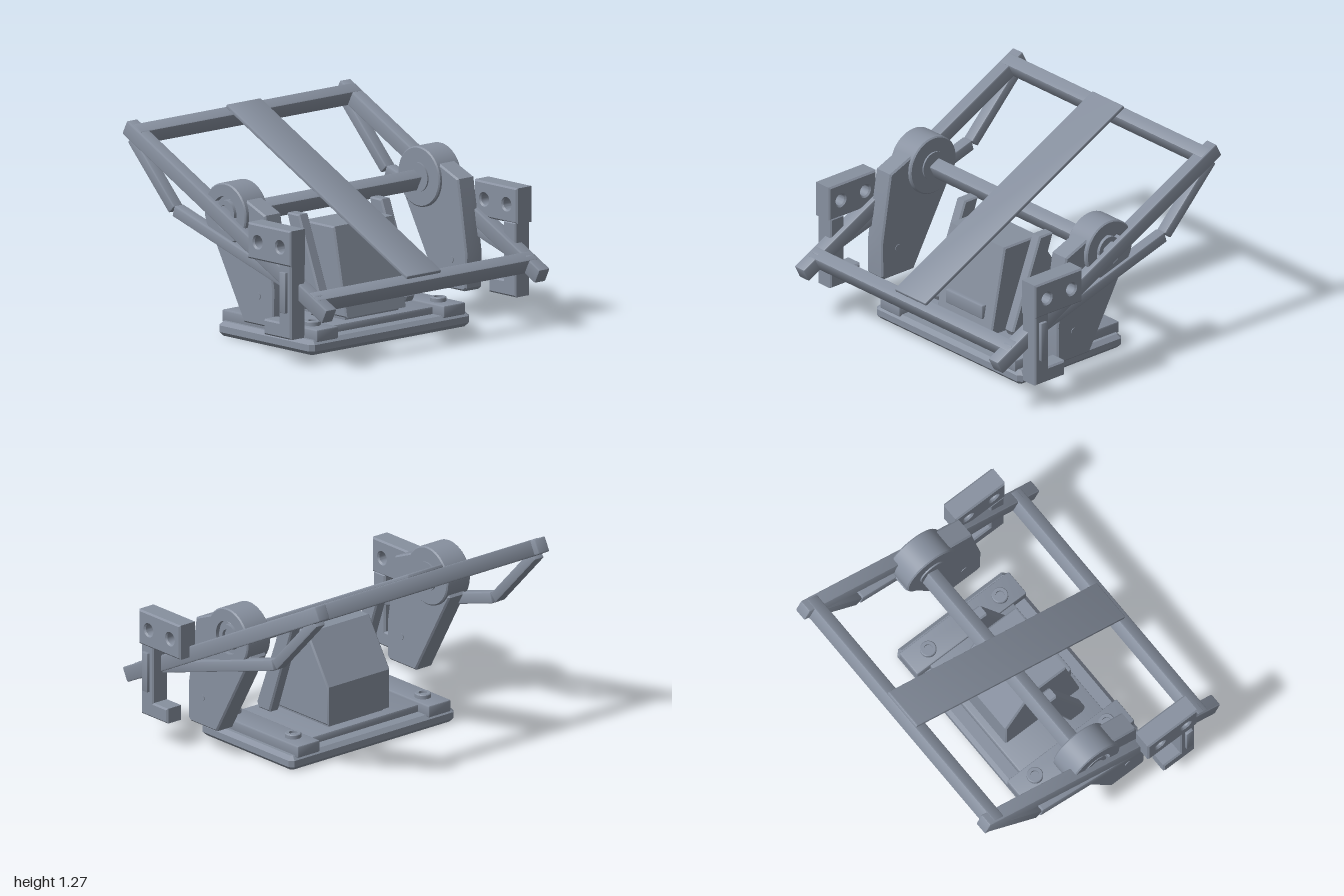
import * as THREE from 'three';
import { toCreasedNormals } from 'three/addons/utils/BufferGeometryUtils.js';
import { RoundedBoxGeometry } from 'three/addons/geometries/RoundedBoxGeometry.js';

const steel = new THREE.MeshStandardMaterial({ color: 0x87909f });
steel.name = 'blueGreySteel';

function add(parent, name, geometry, x = 0, y = 0, z = 0) {
  const mesh = new THREE.Mesh(toCreasedNormals(geometry, 0.5), steel);
  mesh.name = name;
  mesh.position.set(x, y, z);
  parent.add(mesh);
  return mesh;
}

// Box with a narrow softened edge
const box = (w, h, d, r = 0.008) => new RoundedBoxGeometry(w, h, d, 1, r);

// Straight bar between two [z, y] points
function beam(parent, name, x, a, b, width, thick) {
  const dz = b[0] - a[0], dy = b[1] - a[1];
  const mesh = add(parent, name, box(width, thick, Math.hypot(dz, dy)),
    x, (a[1] + b[1]) / 2, (a[0] + b[0]) / 2);
  mesh.rotation.x = Math.atan2(-dy, dz);
  return mesh;
}

// [z, y] outline extruded along x, centred on x, with chamfered edges
function slab(parent, name, outline, x, width, holes = []) {
  const bevel = 0.01;
  const shape = new THREE.Shape(outline.map(([z, y]) => new THREE.Vector2(z, y)));
  for (const [z, y, r] of holes) {
    const hole = new THREE.Path();
    hole.absarc(z, y, r, 0, Math.PI * 2, true);
    shape.holes.push(hole);
  }
  const g = new THREE.ExtrudeGeometry(shape, {
    depth: width - 2 * bevel, bevelEnabled: true, bevelThickness: bevel,
    bevelSize: bevel, bevelOffset: -bevel, bevelSegments: 1, curveSegments: 16,
  });
  g.translate(0, 0, -(width / 2 - bevel));
  g.rotateY(-Math.PI / 2);
  return add(parent, name, g, x);
}

export function createModel() {
  const model = new THREE.Group();
  model.name = 'tiltingFrame';

  // Base plate with chamfered rim, centre panel
  const rim = new THREE.Shape();
  const X = 0.655, Z = 0.42, c = 0.025;
  [[-X + c, -Z], [X - c, -Z], [X, -Z + c], [X, Z - c], [X - c, Z], [-X + c, Z], [-X, Z - c], [-X, -Z + c]]
    .forEach(([x, z], i) => (i ? rim.lineTo(x, z) : rim.moveTo(x, z)));
  const plate = new THREE.ExtrudeGeometry(rim, {
    depth: 0.04, bevelEnabled: true, bevelThickness: 0.025, bevelSize: 0.025, bevelOffset: -0.025, bevelSegments: 1,
  });
  plate.rotateX(-Math.PI / 2);
  add(model, 'basePlate', plate, 0, 0.025, 0.075);
  add(model, 'basePanel', box(1.16, 0.06, 0.64), 0, 0.105, 0.07);

  // Central pedestal
  slab(model, 'pedestal', [[0.36, 0.155], [0.25, 0.7], [-0.02, 0.7], [-0.21, 0.4], [-0.21, 0.155]], 0, 0.495);
  add(model, 'pedestalLedge', box(0.33, 0.09, 0.05), 0, 0.275, 0.335);
  add(model, 'pedestalFoot', box(0.44, 0.05, 0.5), 0, 0.145, 0.07);

  // Tilted frame runs along this line
  const along = (z, lift = 0) => [z + lift * 0.453, 0.783 - 0.508 * (z - 0.005) + lift * 0.891];
  for (const [name, z, w] of [['frontCrossbar', 0.757, 1.81], ['axleBar', -0.045, 1.5], ['rearCrossbar', -0.805, 1.81]]) {
    beam(model, name, 0, along(z - 0.038), along(z + 0.038), w, 0.1);
  }
  beam(model, 'centrePlank', -0.005, along(0.76, 0.058), along(-0.84, 0.058), 0.28, 0.026);

  for (const s of [1, -1]) {
    const side = new THREE.Group();
    side.name = s > 0 ? 'leftSide' : 'rightSide';
    model.add(side);

    // Base strap and bolts
    add(side, 'baseStrap', box(0.175, 0.075, 0.84), s * 0.52, 0.115, 0.07);
    for (const z of [-0.2, 0.35]) {
      const bolt = new THREE.LatheGeometry([[0, -0.02], [0.05, -0.02], [0.05, 0.025], [0.045, 0.03],
        [0.026, 0.03], [0.026, 0.015], [0, 0.015]].map(p => new THREE.Vector2(...p)), 24);
      add(side, 'baseBolt', bolt, s * 0.515, 0.15, z);
    }

    // Frame rail with its lower truss
    beam(side, 'frameRail', s * 0.872, along(0.885), along(-0.88), 0.087, 0.095);
    beam(side, 'trussStrut', s * 0.868, [0.78, 0.41], [-0.46, 0.782], 0.075, 0.07);
    beam(side, 'trussLink', s * 0.868, [-0.475, 0.785], [-0.84, 1.165], 0.075, 0.065);

    // Hub with recessed outer ring and inner boss
    const hub = new THREE.LatheGeometry([[0, -0.103], [0.09, -0.103], [0.09, -0.093], [0.177, -0.093],
      [0.185, -0.085], [0.185, 0.085], [0.177, 0.093], [0.105, 0.093], [0.105, 0.06], [0.08, 0.06],
      [0.08, 0.09], [0.05, 0.09], [0.05, 0.07], [0, 0.07]].map(p => new THREE.Vector2(...p)), 48);
    hub.rotateZ(-s * Math.PI / 2);
    add(side, 'hub', hub, s * 0.793, 0.83, -0.025);

    // Arm hanging from the hub, with pivot pin
    slab(side, 'hubArm', [[0.37, 0.2], [0.372, 0.42], [0.3, 0.86], [0.08, 0.95], [-0.08, 0.9], [-0.2, 0.73],
      [0.11, 0.18], [0.35, 0.18]], s * 0.79, 0.135);
    const pin = new THREE.CylinderGeometry(0.022, 0.022, 0.143, 16);
    pin.rotateZ(Math.PI / 2);
    add(side, 'pivotPin', pin, s * 0.79, 0.36, 0.24);

    // Slim strut beside the pedestal
    slab(side, 'innerStrut', [[0.3, 0.2], [0.08, 0.765], [-0.03, 0.765], [0.18, 0.165], [0.28, 0.165]], s * 0.337, 0.078);

    // Outer bracket: drilled block, leg, foot and raised panel
    slab(side, 'bracketBlock', [[0.67, 0.62], [0.67, 0.84], [0.29, 0.84], [0.29, 0.62]], s * 0.927, 0.13,
      [[0.577, 0.73, 0.035], [0.38, 0.73, 0.035]]);
    slab(side, 'bracketLeg', [[0.66, 0.17], [0.66, 0.63], [0.55, 0.63], [0.55, 0.265], [0.42, 0.265], [0.42, 0.17]],
      s * 0.92, 0.12);
    add(side, 'bracketPanel', box(0.03, 0.25, 0.05, 0.004), s * 0.985, 0.455, 0.605);
  }
  return model;
}
